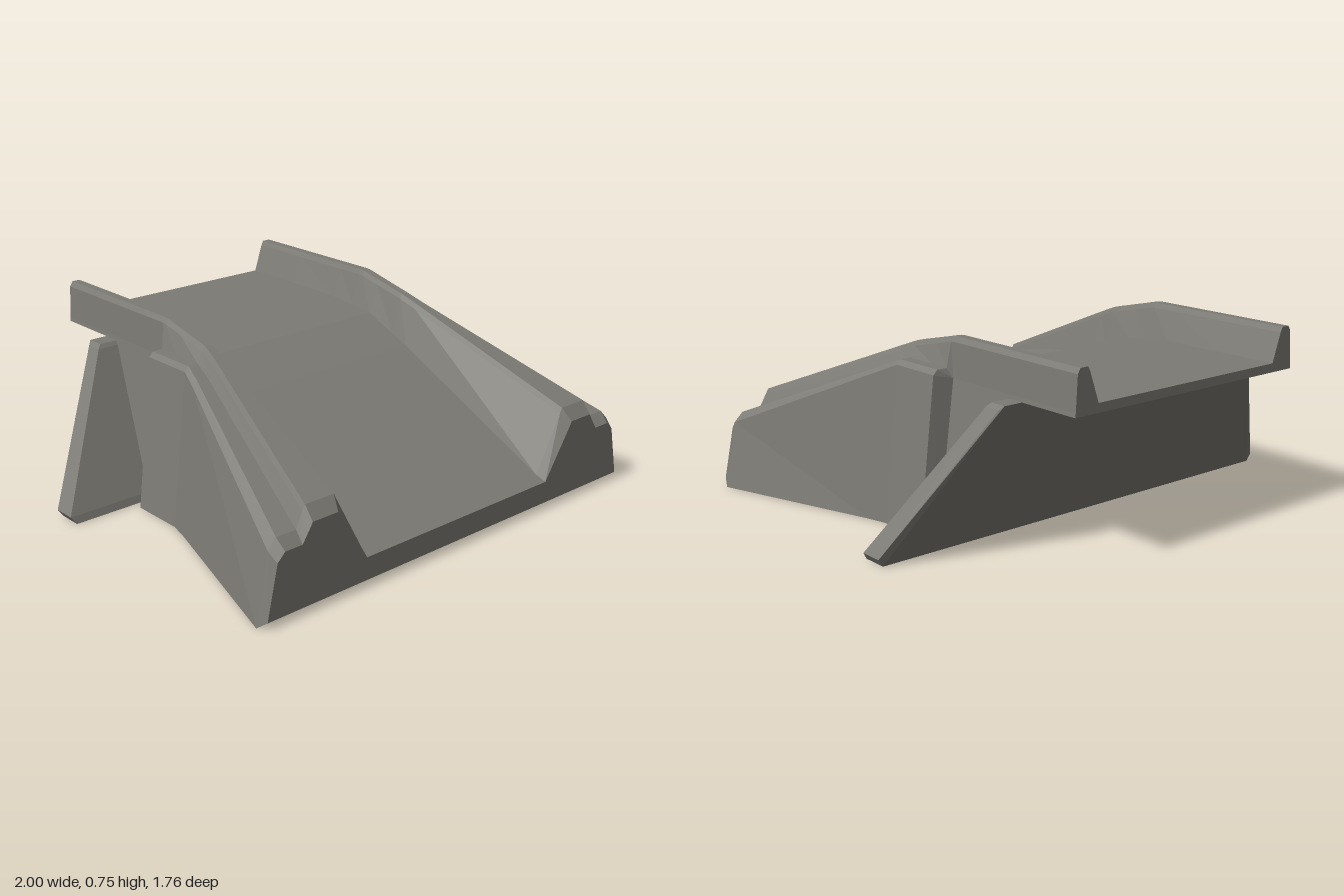
import * as THREE from 'three';
import { ConvexGeometry } from 'three/addons/geometries/ConvexGeometry.js';

// One symmetric cross-section of the ramp, counter-clockwise seen from +z
function section([z, bx, by, sx, sy, lx, rx, ix, ry, fx, fy]) {
  const c = (sx - lx) * 0.3; // shoulder chamfer
  const half = [
    [bx, by], [sx, sy - c], [sx - c, sy], [lx, sy], // outer wall and shoulder
    [rx + 0.007, ry - 0.02], [rx - 0.005, ry], [ix + 0.01, ry], [ix, ry - 0.02], // rail
    [fx, fy], // edge of the deck
  ];
  const loop = [...half, ...half.slice().reverse().map(([x, y]) => [-x, y])];
  return loop.map(([x, y]) => new THREE.Vector3(x, y, z));
}

// Flat-shaded loft through the sections, front to back, with end caps
function loft(sections) {
  const tris = [];
  const tri = (a, b, c) => {
    if (new THREE.Triangle(a, b, c).getArea() > 1e-7) tris.push(a, b, c);
  };
  const n = sections[0].length;
  for (let i = 0; i < sections.length - 1; i++) {
    const f = sections[i], r = sections[i + 1];
    for (let j = 0; j < n; j++) {
      const k = (j + 1) % n;
      tri(f[j], r[j], f[k]);
      tri(f[k], r[j], r[k]);
    }
  }
  const cap = (s, flip) => {
    const flat = s.map((p) => new THREE.Vector2(p.x, p.y));
    for (const [a, b, c] of THREE.ShapeUtils.triangulateShape(flat, [])) {
      if (flip) tri(s[a], s[c], s[b]);
      else tri(s[a], s[b], s[c]);
    }
  };
  cap(sections[0], false);
  cap(sections[sections.length - 1], true);
  const geo = new THREE.BufferGeometry().setFromPoints(tris);
  geo.computeVertexNormals();
  return geo;
}

export function createModel() {
  const model = new THREE.Group();
  model.name = 'ramp';
  const stone = new THREE.MeshStandardMaterial({ color: 0x7d7b75, flatShading: true });
  stone.name = 'warm grey stone';

  const add = (name, geo) => {
    const mesh = new THREE.Mesh(geo, stone);
    mesh.name = name;
    model.add(mesh);
  };

  // Ramp body: z, base x/y, shoulder x/y, rail foot x, rail outer/inner x, rail y, deck x/y
  const rows = [
    [0.88, 0.94, 0.03, 0.895, 0.27, 0.785, 0.745, 0.615, 0.34, 0.485, 0.12],
    [0.84, 0.957, 0, 0.905, 0.31, 0.78, 0.745, 0.6, 0.39, 0.475, 0.14],
    [0.12, 0.73, 0, 0.66, 0.605, 0.59, 0.56, 0.507, 0.67, 0.457, 0.5],
    [0.04, 0.71, 0, 0.637, 0.637, 0.575, 0.545, 0.497, 0.70, 0.455, 0.535],
    [-0.1, 0.71, 0, 0.637, 0.637, 0.575, 0.545, 0.495, 0.732, 0.455, 0.595],
    [-0.19, 0.71, 0, 0.637, 0.637, 0.575, 0.545, 0.495, 0.753, 0.455, 0.603],
    // shoulders end, only the narrow core continues
    [-0.21, 0.64, 0, 0.56, 0.6, 0.56, 0.545, 0.495, 0.755, 0.455, 0.605],
    [-0.33, 0.64, 0, 0.56, 0.6, 0.56, 0.545, 0.495, 0.755, 0.455, 0.617],
    [-0.6, 0.562, 0.585, 0.56, 0.6, 0.56, 0.545, 0.495, 0.755, 0.455, 0.62],
    [-0.88, 0.562, 0.585, 0.56, 0.6, 0.56, 0.545, 0.495, 0.755, 0.455, 0.62],
  ];
  add('rampBody', loft(rows.map(section)));

  // Leaning buttress plate across the rear, wider than the body at its foot
  const corners = [
    [0.98, 0, -0.23], [1, 0.03, -0.24], [0.655, 0.57, -0.52], [0.64, 0.585, -0.532],
    [0.98, 0, -0.333], [1, 0.03, -0.335], [0.655, 0.57, -0.59], [0.64, 0.585, -0.604],
  ];
  const points = corners.flatMap(([x, y, z]) => [new THREE.Vector3(x, y, z), new THREE.Vector3(-x, y, z)]);
  add('rearButtress', new ConvexGeometry(points));

  return model;
}
